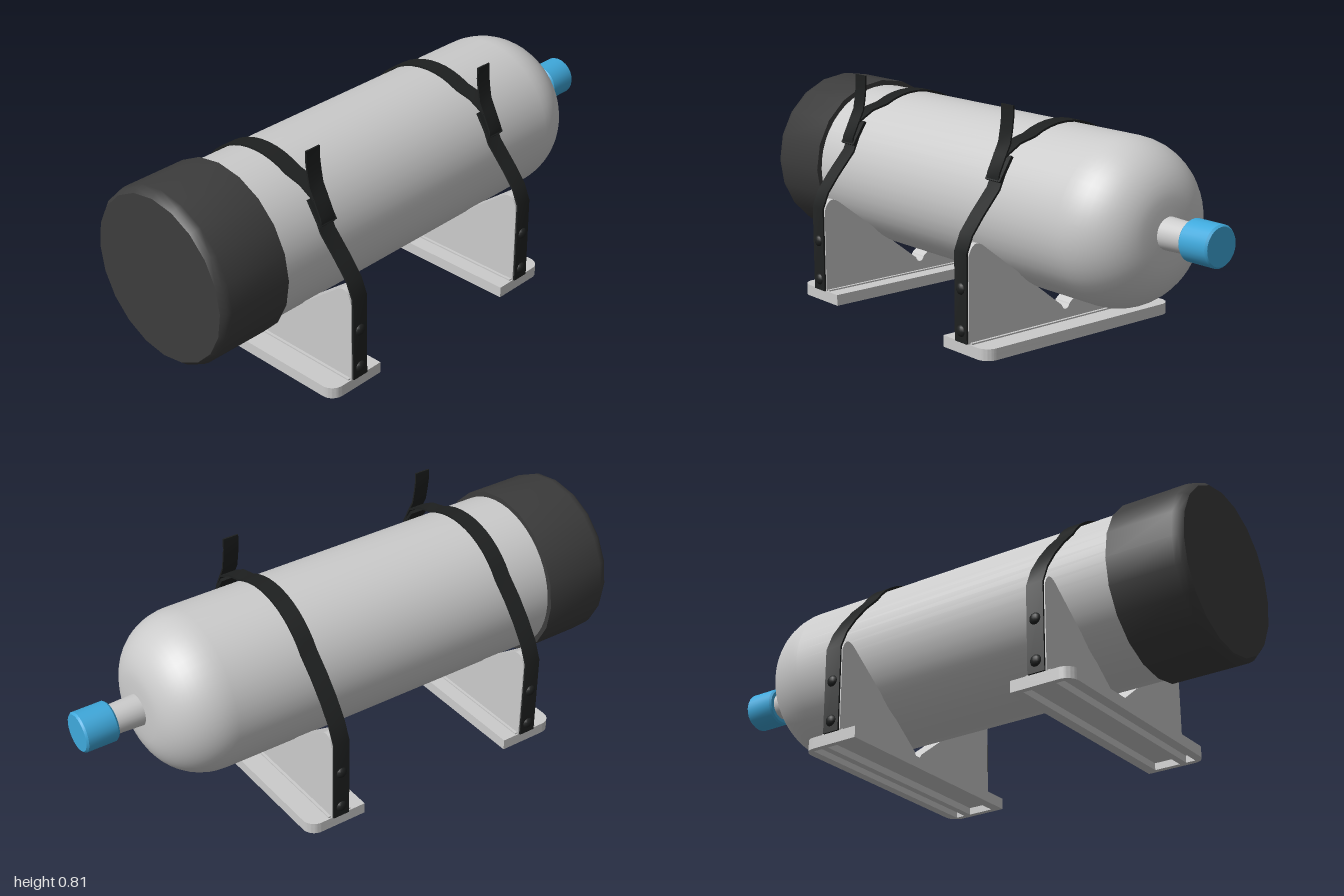
import * as THREE from 'three';
import { toCreasedNormals } from 'three/addons/utils/BufferGeometryUtils.js';

const AXIS_Y = 0.435; // height of the tank's axis
const R = 0.285;

const grey = new THREE.MeshStandardMaterial({ color: 0xcccccc });
const rubber = new THREE.MeshStandardMaterial({ color: 0x3c3c3c });
const black = new THREE.MeshStandardMaterial({ color: 0x1e2020 });
const blue = new THREE.MeshStandardMaterial({ color: 0x3fa9dc });

function part(parent, name, geometry, material) {
  const mesh = new THREE.Mesh(geometry, material);
  mesh.name = name;
  parent.add(mesh);
  return mesh;
}

// Turned part along z; profile is [radius, z] with z increasing
function turned(profile, sides) {
  const g = new THREE.LatheGeometry(profile.map(([r, z]) => new THREE.Vector2(r, z)), sides);
  g.rotateX(Math.PI / 2).translate(0, AXIS_Y, 0);
  return toCreasedNormals(g, 0.6);
}

// Flat band of given width following a path in the xy plane
function ribbon(path, width, thickness) {
  const pts = path.map(([x, y]) => new THREE.Vector2(x, y));
  const side = (s) => pts.map((p, i) => {
    const a = pts[Math.max(i - 1, 0)], b = pts[Math.min(i + 1, pts.length - 1)];
    const d = b.clone().sub(a).normalize();
    return new THREE.Vector2(p.x - d.y * s * thickness / 2, p.y + d.x * s * thickness / 2);
  });
  const shape = new THREE.Shape([...side(1), ...side(-1).reverse()]);
  const g = new THREE.ExtrudeGeometry(shape, { depth: width, bevelEnabled: false });
  return toCreasedNormals(g.translate(0, 0, -width / 2), 0.6);
}

function rectPath(x0, x1, y0, y1) {
  const p = new THREE.Path();
  p.moveTo(x0, y0).lineTo(x0, y1).lineTo(x1, y1).lineTo(x1, y0).closePath();
  return p;
}

// Foot outline in plan: the outer edge (+) has rounded corners
function footShape() {
  const w = 0.425, d = 0.111, r = 0.045;
  const s = new THREE.Shape();
  s.moveTo(-w, -d);
  s.lineTo(w, -d);
  s.lineTo(w, d - r);
  s.absarc(w - r, d - r, r, 0, Math.PI / 2);
  s.absarc(-w + r, d - r, r, Math.PI / 2, Math.PI);
  s.closePath();
  return s;
}

function slab(shape, bottom, top) {
  const g = new THREE.ExtrudeGeometry(shape, { depth: top - bottom, bevelEnabled: false, curveSegments: 8 });
  return toCreasedNormals(g.rotateX(Math.PI / 2).translate(0, top, 0), 0.5);
}

function createBracket() {
  const bracket = new THREE.Group();
  bracket.name = 'bracket';

  // Foot: a thin plate over a ribbed underside
  part(bracket, 'footPlate', slab(footShape(), 0.025, 0.04), grey);
  const rim = footShape();
  rim.holes.push(rectPath(-0.405, 0.405, -0.075, 0.02), rectPath(-0.405, 0.405, 0.045, 0.08));
  part(bracket, 'footRibs', slab(rim, 0, 0.025), grey);

  // Upright with a V cradle and a relief notch at its bottom
  const s = new THREE.Shape();
  s.moveTo(-0.425, 0.03);
  s.lineTo(0.425, 0.03);
  s.lineTo(0.425, 0.335);
  s.quadraticCurveTo(0.415, 0.37, 0.395, 0.374);
  s.quadraticCurveTo(0.38, 0.376, 0.362, 0.362);
  s.lineTo(0.018, 0.095);
  s.quadraticCurveTo(0.012, 0.078, 0, 0.078);
  s.quadraticCurveTo(-0.012, 0.078, -0.018, 0.095);
  s.lineTo(-0.362, 0.362);
  s.quadraticCurveTo(-0.38, 0.376, -0.395, 0.374);
  s.quadraticCurveTo(-0.415, 0.37, -0.425, 0.335);
  s.closePath();
  const g = new THREE.ExtrudeGeometry(s, { depth: 0.07, bevelEnabled: false, curveSegments: 6 });
  part(bracket, 'upright', toCreasedNormals(g.translate(0, 0, -0.046), 0.5), grey);

  // Weld strip where the upright meets the foot
  part(bracket, 'weldStrip', new THREE.BoxGeometry(0.84, 0.008, 0.09), grey).position.set(0, 0.041, -0.011);
  return bracket;
}

function createStrap() {
  const strap = new THREE.Group();
  strap.name = 'strap';
  const width = 0.062;

  // Band: up the left post, over the tank, down to the buckle
  const over = [[-0.428, 0.04], [-0.428, 0.345], [-0.4, 0.41], [-0.355, 0.475], [-0.3, 0.54]];
  for (let a = 146; a >= 62; a -= 7) {
    const t = THREE.MathUtils.degToRad(a);
    over.push([Math.cos(t) * (R + 0.006), AXIS_Y + Math.sin(t) * (R + 0.006)]);
  }
  over.push([0.2, 0.677], [0.262, 0.642]);
  part(strap, 'band', ribbon(over, width, 0.007), black);
  const lower = [[0.428, 0.04], [0.428, 0.345], [0.405, 0.4], [0.36, 0.457], [0.29, 0.535], [0.252, 0.62]];
  part(strap, 'lowerBand', ribbon(lower, width, 0.007), black);
  const tail = [[0.292, 0.56], [0.29, 0.585], [0.262, 0.642], [0.243, 0.68], [0.235, 0.725], [0.23, 0.765], [0.23, 0.805]];
  part(strap, 'looseEnd', ribbon(tail, width * 0.95, 0.006), black);
  part(strap, 'buckle', ribbon([[0.241, 0.64], [0.292, 0.56]], 0.074, 0.011), black);

  // Domed bolts through the strap into the posts
  for (const side of [-1, 1]) {
    for (const y of [0.08, 0.223]) {
      const bolt = part(strap, 'bolt', new THREE.SphereGeometry(0.021, 14, 8), black);
      bolt.scale.x = 0.7;
      bolt.position.set(side * 0.428, y, 0);
    }
  }
  return strap;
}

export function createModel() {
  const model = new THREE.Group();
  model.name = 'strappedTank';

  // Tank with a rounded shoulder at the back
  const body = [[0, -0.78], [0.06, -0.779]];
  for (let i = 0; i <= 12; i++) {
    const t = (i / 12) * Math.PI / 2;
    body.push([0.085 + 0.2 * Math.sin(t), -0.565 - 0.212 * Math.cos(t)]);
  }
  body.push([R, 0.95], [0, 0.95]);
  part(model, 'tank', turned(body, 48), grey);

  // Neck and valve cap
  part(model, 'neck', turned([[0, -0.9], [0.05, -0.9], [0.055, -0.77], [0, -0.77]], 24), grey);
  part(model, 'valveCap', turned([[0, -1], [0.064, -1], [0.07, -0.993], [0.07, -0.887], [0.064, -0.88], [0, -0.88]], 24), blue);

  // Rubber boot on the front end
  part(model, 'boot', turned([[0, 0.73], [0.305, 0.73], [0.305, 0.965], [0.301, 0.985], [0.288, 1], [0, 1]], 20), rubber);

  // Two brackets, foot edges facing outward, each with its strap
  for (const front of [true, false]) {
    const bracket = createBracket();
    bracket.position.z = front ? 0.556 : -0.278;
    bracket.rotation.y = front ? 0 : Math.PI;
    const strap = createStrap();
    strap.position.z = front ? 0.545 : -0.267;
    model.add(bracket, strap);
  }
  return model;
}
